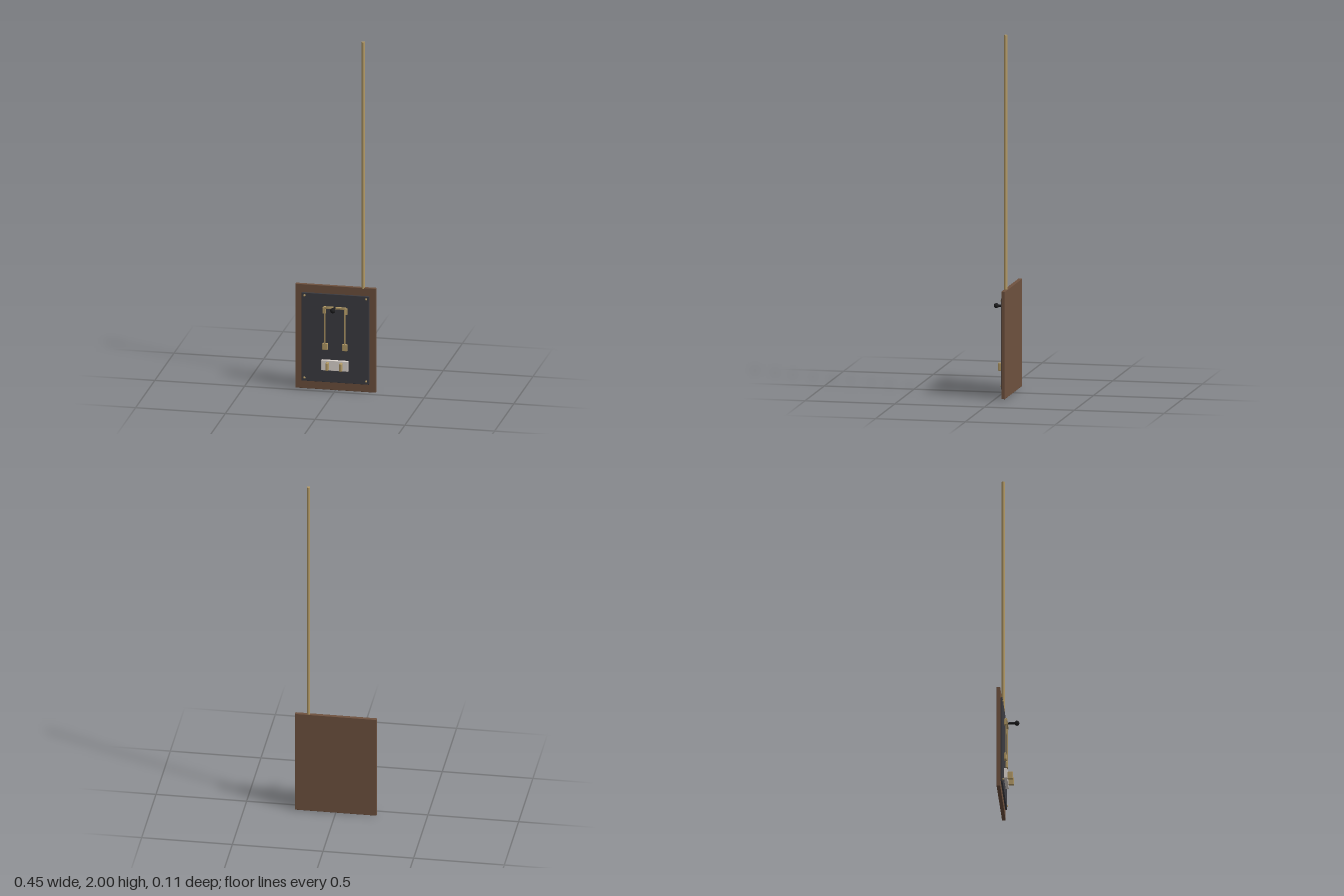
import * as THREE from 'three';
import { RoundedBoxGeometry } from 'three/addons/geometries/RoundedBoxGeometry.js';

const mat = (name, color) => {
  const m = new THREE.MeshStandardMaterial({ color });
  m.name = name;
  return m;
};

export function createModel() {
  const wood = mat('wood', 0x6f523f);
  const slate = mat('slate', 0x3d3d43);
  const brass = mat('brass', 0xb59c68);
  const porcelain = mat('porcelain', 0xe2dad4);
  const black = mat('black', 0x1e1e20);

  const root = new THREE.Group();
  root.name = 'switchPanel';
  const add = (name, geo, material, x, y, z) => {
    const m = new THREE.Mesh(geo, material);
    m.name = name;
    m.position.set(x, y, z);
    root.add(m);
    return m;
  };
  const box = (w, h, d, r) => new RoundedBoxGeometry(w, h, d, 2, r);

  // Backing board and slate plate
  add('backBoard', box(0.45, 0.595, 0.02, 0.002), wood, 0, 0.2975, -0.045);
  add('slatePlate', box(0.376, 0.504, 0.01, 0.002), slate, 0, 0.298, -0.03);

  // Conduit rising from the top edge
  add('conduit', new THREE.CylinderGeometry(0.0095, 0.0095, 1.41, 16), brass, 0.152, 1.295, -0.043);

  // Domed corner screws
  for (const x of [-0.172, 0.172]) for (const y of [0.064, 0.534]) {
    const s = add('screw', new THREE.SphereGeometry(0.0065, 12, 6, 0, Math.PI * 2, 0, Math.PI / 2), brass, x, y, -0.025);
    s.rotation.x = Math.PI / 2;
  }

  // Knife switch: crossbar, blades, hinge clips and lower jaws
  add('crossbar', box(0.126, 0.012, 0.012, 0.002), brass, 0, 0.476, -0.014);
  for (const s of [-1, 1]) {
    add('blade', box(0.008, 0.225, 0.006, 0.001), brass, s * 0.055, 0.366, -0.014);
    add('hingeClip', box(0.018, 0.036, 0.013, 0.003), brass, s * 0.06, 0.458, -0.0185);
    add('jaw', box(0.03, 0.038, 0.014, 0.003), brass, s * 0.055, 0.252, -0.018);
  }

  // Handle with ball knob
  const stem = add('handleStem', new THREE.CylinderGeometry(0.0065, 0.0065, 0.05, 16), black, 0, 0.478, 0.016);
  stem.rotation.x = Math.PI / 2;
  add('handleKnob', new THREE.SphereGeometry(0.014, 20, 14), black, 0, 0.478, 0.041);

  // Porcelain fuse block with two brass tabs
  add('fuseBlock', box(0.15, 0.058, 0.018, 0.002), porcelain, 0, 0.147, -0.016);
  for (const s of [-1, 1])
    add('fuseTab', box(0.015, 0.045, 0.03, 0.004), brass, s * 0.038, 0.147, 0.008);

  return root;
}
